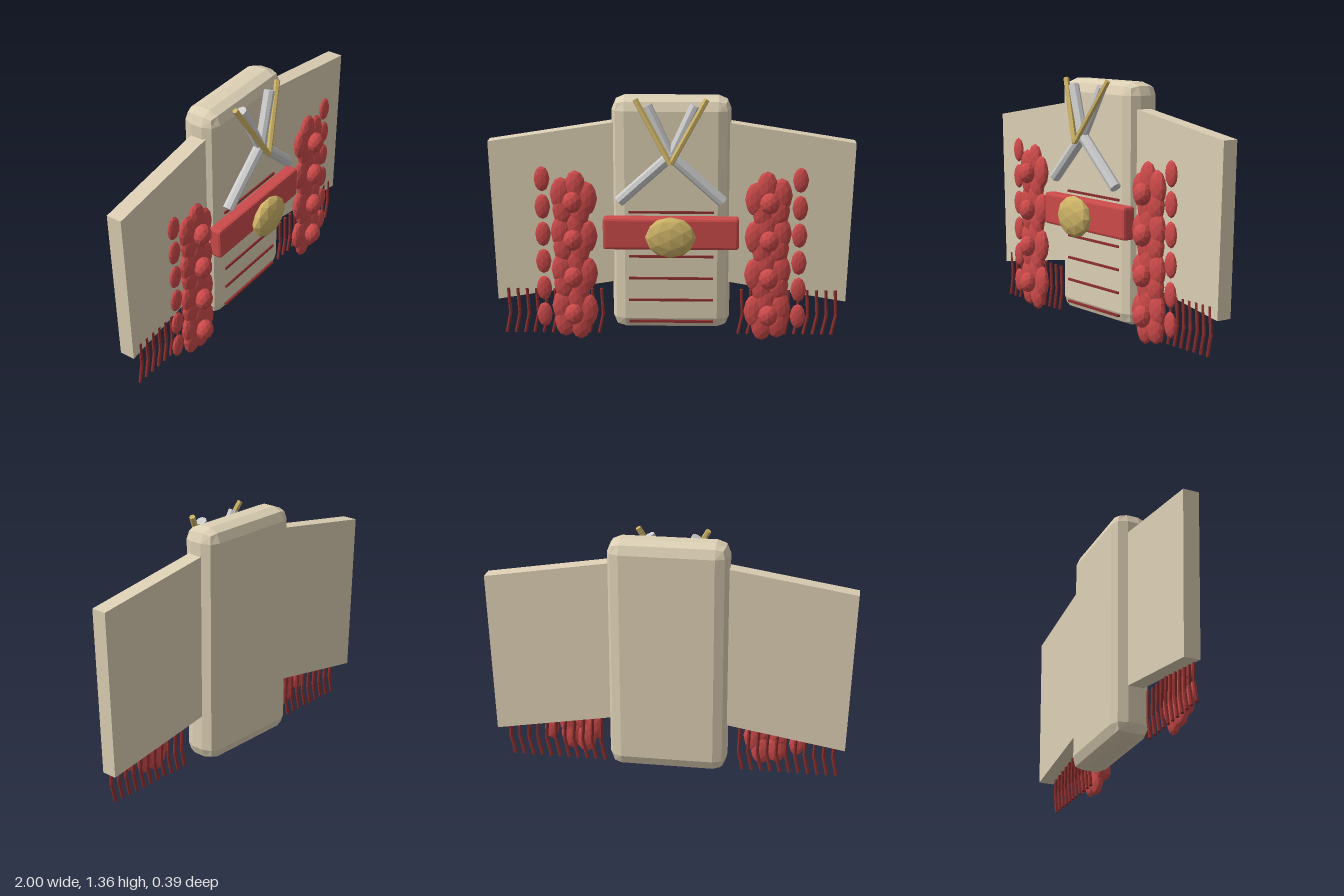
import * as THREE from 'three';
import { RoundedBoxGeometry } from 'three/addons/geometries/RoundedBoxGeometry.js';

const mat = (color, side = THREE.FrontSide) =>
  new THREE.MeshStandardMaterial({ color, flatShading: true, side });

export function createModel() {
  const model = new THREE.Group();
  const cloth = mat(0xdccfb4), red = mat(0xcc4a4a), darkRed = mat(0x8c2f2f);
  const gold = mat(0xccb266), grey = mat(0xcccccc);

  const add = (parent, name, geometry, material, x = 0, y = 0, z = 0) => {
    const mesh = new THREE.Mesh(geometry, material);
    mesh.name = name;
    mesh.position.set(x, y, z);
    parent.add(mesh);
    return mesh;
  };
  const group = (name) => {
    const g = new THREE.Group();
    g.name = name;
    model.add(g);
    return g;
  };
  // faceted ellipsoid
  const bead = (parent, name, material, pos, radii) =>
    add(parent, name, new THREE.IcosahedronGeometry(1, 1), material, ...pos).scale.set(...radii);
  // straight rod between two points
  const rod = (parent, name, material, from, to, radius, sides) => {
    const a = new THREE.Vector3(...from), b = new THREE.Vector3(...to);
    const dir = b.clone().sub(a);
    const mesh = add(parent, name, new THREE.CylinderGeometry(radius, radius, dir.length(), sides), material);
    mesh.position.copy(a).add(b).multiplyScalar(0.5);
    mesh.quaternion.setFromUnitVectors(new THREE.Vector3(0, 1, 0), dir.normalize());
  };

  // robe body
  add(model, 'body', new RoundedBoxGeometry(0.648, 1.31, 0.207, 1, 0.07), cloth, 0, 0.705, -0.0925);

  // thin dark pleats across the front
  const pleats = group('pleats');
  for (let i = 0; i < 6; i++)
    add(pleats, 'pleat', new THREE.BoxGeometry(0.465, 0.013, 0.016), darkRed, 0, 0.104 + i * 0.126, 0.012);

  // sash and its medallion
  add(model, 'sash', new RoundedBoxGeometry(0.74, 0.178, 0.076, 1, 0.015), red, 0, 0.628, 0.048);
  bead(model, 'medallion', gold, [0, 0.628, 0.141], [0.138, 0.114, 0.051]);

  // crossed collar bands, and the gold V laid over them
  const collar = group('collar');
  for (const s of [-1, 1]) {
    const bend = [s * 0.005, 1.07, 0.082];
    rod(collar, 'collarUpper', grey, [s * 0.128, 1.33, 0.05], bend, 0.029, 8);
    rod(collar, 'collarLower', grey, bend, [-s * 0.28, 0.81, 0.072], 0.031, 8);
    rod(collar, 'collarTrim', gold, [s * 0.19, 1.365, 0.057], [0, 1.03, 0.137], 0.016, 6);
  }

  for (const s of [-1, 1]) {
    const side = s > 0 ? 'left' : 'right';

    // hanging sleeve
    const outline = new THREE.Shape([
      [0.29, 1.225], [0.29, 0.325], [0.97, 0.21], [1, 1.112],
    ].map(([x, y]) => new THREE.Vector2(s * x, y)));
    add(model, side + 'Sleeve', new THREE.ExtrudeGeometry(outline, { depth: 0.087, bevelEnabled: false }),
      cloth, 0, 0, -0.127);

    // column of flowers, five petals each
    const flowers = group(side + 'Flowers');
    for (let i = 0; i < 4; i++) {
      const y = 0.17 + i * 0.2125;
      for (let p = 0; p < 5; p++) {
        const a = THREE.MathUtils.degToRad(80 + p * 72);
        bead(flowers, 'petal', red,
          [s * (0.533 - Math.cos(a) * 0.073), y + Math.sin(a) * 0.073, 0.045], [0.06, 0.095, 0.032]);
      }
      bead(flowers, 'flowerCentre', red, [s * 0.533, y, 0.094], [0.054, 0.06, 0.045]);
    }

    // outer row of small drops
    const drops = group(side + 'Drops');
    for (let i = 0; i < 6; i++)
      bead(drops, 'drop', red, [s * 0.7, 0.15 + i * 0.155, 0.04], [0.043, 0.07, 0.02]);

    // bent fringe strands under the sleeve
    const fringe = group(side + 'Fringe');
    for (let i = 0; i < 11; i++) {
      const x = s * (0.39 + i * 0.0522), z = -0.043;
      rod(fringe, 'strandTop', darkRed, [x, 0.275, z], [x + 0.008, 0.12, z], 0.01, 6);
      rod(fringe, 'strandEnd', darkRed, [x + 0.008, 0.127, z], [x - 0.016, 0.014, z], 0.01, 6);
    }
  }
  return model;
}
